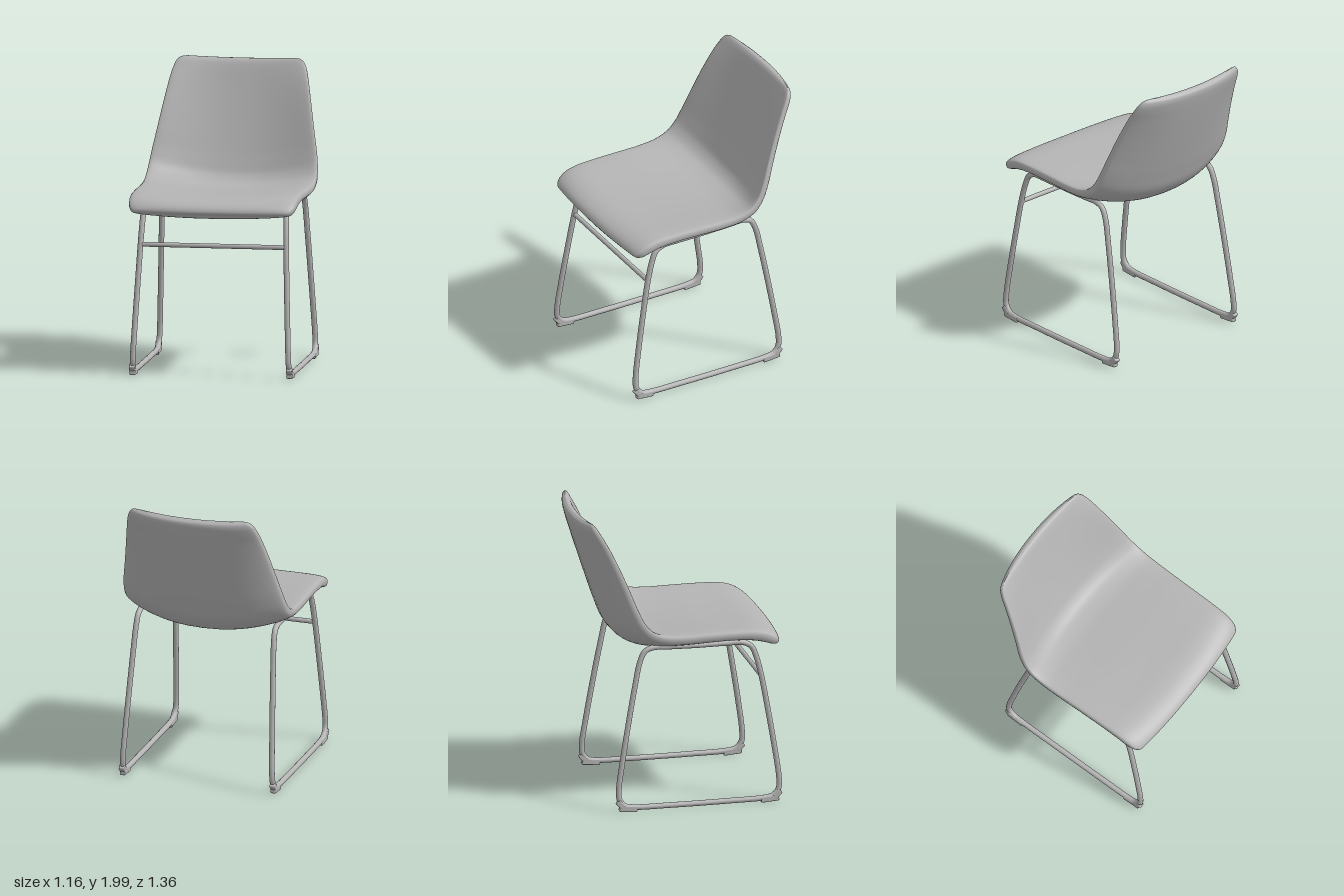
import * as THREE from 'three';
import { mergeVertices } from 'three/addons/utils/BufferGeometryUtils.js';
import { RoundedBoxGeometry } from 'three/addons/geometries/RoundedBoxGeometry.js';

const V = (x, y, z) => new THREE.Vector3(x, y, z);

// Shell stations from front lip to top of back:
// half width, side y, side z, thickness, centre y, centre z
const STATIONS = [
  [0.50, 1.115, 0.655, 0.00, 1.115, 0.680],
  [0.53, 1.122, 0.648, 0.06, 1.120, 0.672],
  [0.555, 1.140, 0.620, 0.10, 1.130, 0.640],
  [0.567, 1.168, 0.570, 0.12, 1.142, 0.580],
  [0.570, 1.188, 0.500, 0.12, 1.150, 0.500],
  [0.572, 1.198, 0.350, 0.11, 1.150, 0.350],
  [0.575, 1.197, 0.150, 0.11, 1.142, 0.150],
  [0.578, 1.196, 0.000, 0.11, 1.130, -0.020],
  [0.580, 1.208, -0.130, 0.11, 1.122, -0.180],
  [0.580, 1.245, -0.225, 0.11, 1.140, -0.300],
  [0.573, 1.310, -0.285, 0.10, 1.205, -0.375],
  [0.560, 1.400, -0.330, 0.095, 1.310, -0.422],
  [0.535, 1.530, -0.380, 0.09, 1.470, -0.480],
  [0.505, 1.690, -0.445, 0.085, 1.650, -0.542],
  [0.475, 1.840, -0.515, 0.08, 1.820, -0.598],
  [0.455, 1.920, -0.560, 0.075, 1.910, -0.626],
  [0.435, 1.965, -0.585, 0.065, 1.955, -0.640],
  [0.410, 1.988, -0.598, 0.045, 1.976, -0.646],
  [0.370, 1.999, -0.604, 0.00, 1.985, -0.649],
];

function shellGeometry(rows = 96, cols = 56) {
  const side = new THREE.CatmullRomCurve3(STATIONS.map(s => V(s[0], s[1], s[2])));
  const mid = new THREE.CatmullRomCurve3(STATIONS.map(s => V(s[3], s[4], s[5])));
  const at = (t, k) => side.getPoint(t).lerp(mid.getPoint(t), 1 - k);
  const power = (v, e) => Math.sign(v) * Math.abs(v) ** e;
  const pos = [], index = [];
  for (let i = 0; i <= rows; i++) {
    const t = i / rows;
    const w = side.getPoint(t).x, th = Math.max(0, mid.getPoint(t).x);
    for (let j = 0; j < cols; j++) {
      const a = (j / cols) * Math.PI * 2;
      const u = power(Math.cos(a), 0.75), v = power(Math.sin(a), 0.5);
      const k = Math.abs(u) ** 2.1;
      const p = at(t, k);
      const d = at(Math.min(1, t + 0.01), k).sub(at(Math.max(0, t - 0.01), k));
      const len = Math.hypot(d.y, d.z);
      const off = v * th / 2;
      pos.push(u * w, p.y - d.z / len * off, p.z + d.y / len * off);
      if (i < rows) {
        const n = (j + 1) % cols, r = i * cols, q = r + cols;
        index.push(r + j, q + j, r + n, q + j, q + n, r + n);
      }
    }
  }
  let g = new THREE.BufferGeometry();
  g.setAttribute('position', new THREE.Float32BufferAttribute(pos, 3));
  g.setIndex(index);
  g = mergeVertices(g, 1e-5);
  g.computeVertexNormals();
  return g;
}

export function createModel() {
  const root = new THREE.Group();
  root.name = 'chair';
  const grey = new THREE.MeshStandardMaterial({ color: 0xb4b4b4 });
  grey.name = 'light grey';
  const add = (parent, name, geometry) => {
    const m = new THREE.Mesh(geometry, grey);
    m.name = name;
    parent.add(m);
    return m;
  };

  add(root, 'seatShell', shellGeometry());

  // Sled legs: closed tube loop on each side, splayed outward at the floor
  const loop = [
    [0.56, 0.037], [0.615, 0.05], [0.652, 0.095], [0.655, 0.17], [0.63, 0.36], [0.585, 0.64],
    [0.54, 0.89], [0.507, 1.02], [0.475, 1.092], [0.42, 1.122], [0.3, 1.126], [0.1, 1.126], [-0.1, 1.13],
    [-0.2, 1.132], [-0.257, 1.11], [-0.293, 1.04], [-0.33, 0.87], [-0.38, 0.6], [-0.425, 0.33],
    [-0.448, 0.17], [-0.445, 0.095], [-0.41, 0.05], [-0.355, 0.037], [-0.1, 0.032], [0.3, 0.032],
  ];
  for (const s of [1, -1]) {
    const frame = new THREE.Group();
    frame.name = s > 0 ? 'leftLegFrame' : 'rightLegFrame';
    root.add(frame);
    const path = new THREE.CatmullRomCurve3(
      loop.map(([z, y]) => V(s * (0.534 - 0.045 * y), y, z)), true);
    add(frame, 'legLoop', new THREE.TubeGeometry(path, 160, 0.019, 12, true));

    // Floor glides with a clip wrapping the lower bend
    for (const [z, dir, name] of [[0.59, 1, 'frontFoot'], [-0.385, -1, 'rearFoot']]) {
      const foot = add(frame, name, new RoundedBoxGeometry(0.038, 0.042, 0.125, 2, 0.008));
      foot.position.set(s * 0.533, 0.03, z);
      foot.rotation.x = -dir * 0.08;
      const clip = add(frame, name + 'Clip', new RoundedBoxGeometry(0.04, 0.04, 0.06, 2, 0.008));
      clip.position.set(s * 0.533, 0.06, z + dir * 0.052);
      clip.rotation.x = -dir * 0.85;
    }
  }

  // Straight rail between the front legs
  const rail = add(root, 'frontRail', new THREE.CylinderGeometry(0.016, 0.016, 0.98, 16));
  rail.rotation.z = Math.PI / 2;
  rail.position.set(0, 0.885, 0.541);

  // Curved brace under the seat
  const brace = new THREE.CatmullRomCurve3([-0.483, -0.42, -0.3, -0.15, 0, 0.15, 0.3, 0.42, 0.483]
    .map(x => V(x, 1.068 + 0.06 * (Math.abs(x) / 0.483) ** 2.4, -0.07)));
  add(root, 'seatBrace', new THREE.TubeGeometry(brace, 48, 0.02, 10, false));
  return root;
}
